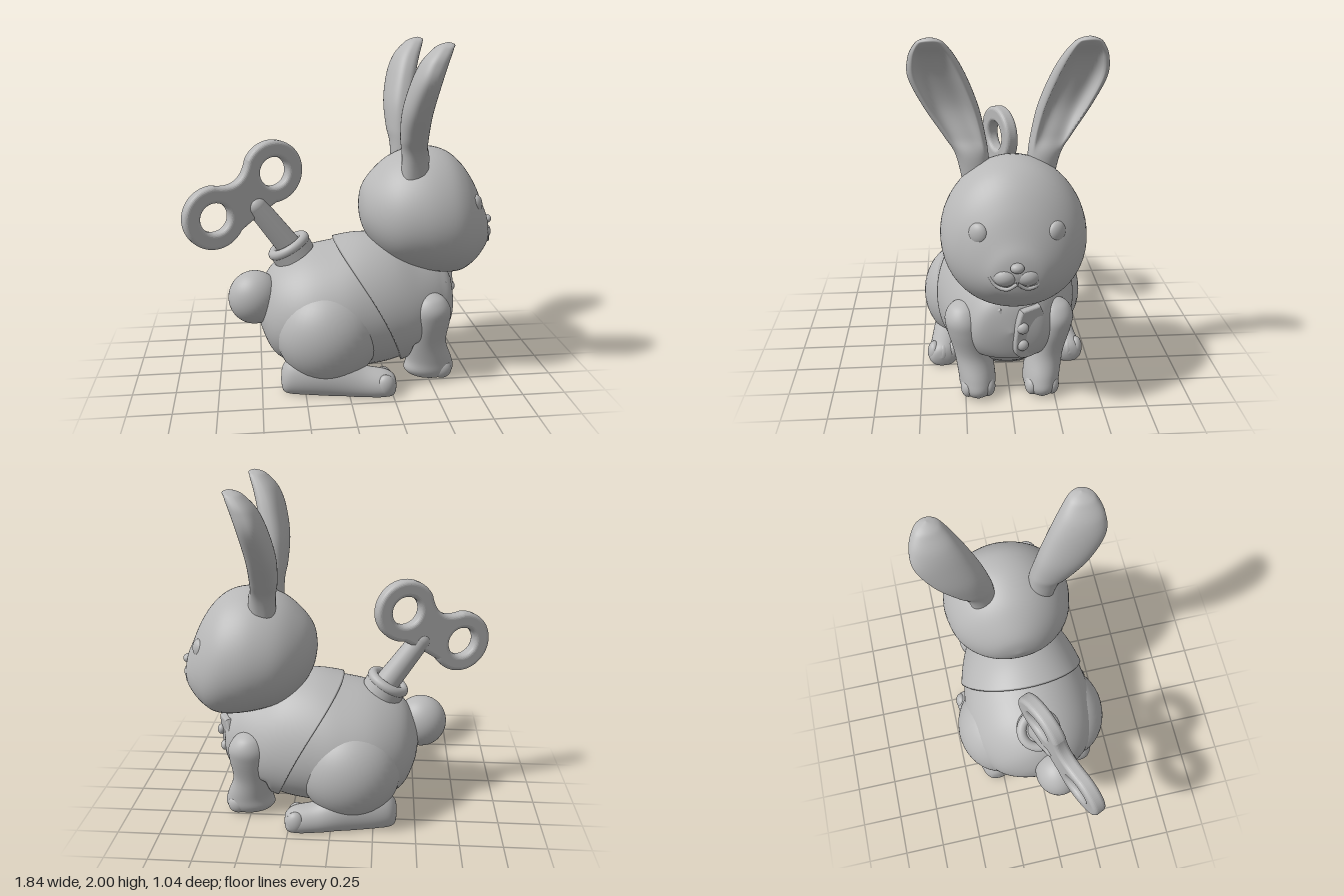
import * as THREE from 'three';
import { mergeVertices } from 'three/addons/utils/BufferGeometryUtils.js';

// Smooth interpolation through rows of numbers, u in 0..1
function sample(rows, u) {
  const f = Math.min(Math.max(u, 0), 1) * (rows.length - 1);
  const i = Math.min(Math.floor(f), rows.length - 2), t = f - i;
  const at = (k) => rows[Math.min(Math.max(k, 0), rows.length - 1)];
  const [a, b, c, d] = [at(i - 1), at(i), at(i + 1), at(i + 2)];
  return b.map((_, k) => 0.5 * (2 * b[k] + (c[k] - a[k]) * t
    + (2 * a[k] - 5 * b[k] + 4 * c[k] - d[k]) * t * t
    + (3 * b[k] - a[k] - 3 * c[k] + d[k]) * t * t * t));
}

// Closed-ring surface from point(u, angle)
function surface(point, nu = 48, nt = 56) {
  const pos = [], index = [];
  for (let i = 0; i <= nu; i++) {
    for (let j = 0; j < nt; j++) pos.push(...point(i / nu, (j / nt) * Math.PI * 2));
  }
  for (let i = 0; i < nu; i++) {
    for (let j = 0; j < nt; j++) {
      const a = i * nt + j, b = i * nt + (j + 1) % nt;
      index.push(a, b, a + nt, b, b + nt, a + nt);
    }
  }
  let g = new THREE.BufferGeometry();
  g.setAttribute('position', new THREE.Float32BufferAttribute(pos, 3));
  g.setIndex(index);
  g = mergeVertices(g, 1e-5);
  g.computeVertexNormals();
  return g;
}

// Pear-shaped ring along x from rows [x, top, bottom, half width]
const ringX = (rows) => (u, t) => {
  const [x, top, bottom, w] = sample(rows, u);
  return [x, (top + bottom) / 2 + (top - bottom) / 2 * Math.cos(t),
    w * Math.sin(t) * (1 - 0.1 * Math.cos(t))];
};

export function createModel() {
  const model = new THREE.Group();
  model.name = 'windUpRabbit';
  const grey = new THREE.MeshStandardMaterial({ color: 0xb8b8b8, side: THREE.DoubleSide });
  grey.name = 'grey';

  const add = (name, geometry, x = 0, y = 0, z = 0) => {
    const mesh = new THREE.Mesh(geometry, grey);
    mesh.name = name;
    mesh.position.set(x, y, z);
    model.add(mesh);
    return mesh;
  };
  const ball = (name, [x, y, z], [rx, ry, rz]) =>
    add(name, new THREE.SphereGeometry(1, 40, 28).scale(rx, ry, rz), x, y, z);
  const rod = (name, a, b, r0, r1 = r0) => {
    const from = new THREE.Vector3(...a), dir = new THREE.Vector3(...b).sub(from);
    const m = add(name, new THREE.CylinderGeometry(r1, r0, dir.length(), 32));
    m.position.copy(from).addScaledVector(dir, 0.5);
    m.quaternion.setFromUnitVectors(new THREE.Vector3(0, 1, 0), dir.normalize());
  };

  // Body
  const body = ringX([
    [-0.515, 0.42, 0.42, 0], [-0.49, 0.55, 0.29, 0.15], [-0.41, 0.68, 0.14, 0.29],
    [-0.25, 0.77, 0.07, 0.39], [-0.05, 0.815, 0.05, 0.42], [0.12, 0.84, 0.05, 0.4],
    [0.28, 0.82, 0.07, 0.365], [0.42, 0.75, 0.12, 0.315], [0.55, 0.68, 0.2, 0.235],
    [0.63, 0.6, 0.29, 0.16], [0.66, 0.45, 0.45, 0]]);
  add('body', surface(body));

  // Vest: a shell over the front of the body, cut by a slanting hem
  const beyondHem = ([x, y]) => {
    const k = (0.85 - y) / 0.75;
    return x > -0.07 + 0.41 * k + 0.05 * Math.sin(Math.PI * Math.min(Math.max(k, 0), 1));
  };
  const hemAt = (t) => {
    let lo = 0, hi = 1;
    for (let i = 0; i < 24; i++) {
      const mid = (lo + hi) / 2;
      if (beyondHem(body(mid, t))) hi = mid; else lo = mid;
    }
    return hi;
  };
  add('vest', surface((u, t) => {
    const v = Math.max(0, (u - 0.04) / 0.96), hem = hemAt(t);
    const p = body(hem + (1 - hem) * v, t);
    // open below the chest
    const bare = THREE.MathUtils.smoothstep(p[0], 0.36, 0.42) * (1 - THREE.MathUtils.smoothstep(p[1], 0.23, 0.29));
    const s = u === 0 ? 0.97 : 1.05 - 0.08 * bare;
    return [0.2 + (p[0] - 0.2) * s, 0.45 + (p[1] - 0.45) * s, p[2] * s];
  }, 60, 96));

  // Overlapping front flaps with rounded lower corners
  const flapShape = new THREE.Shape();
  flapShape.moveTo(-0.05, 0.14);
  flapShape.quadraticCurveTo(-0.09, 0.04, -0.088, -0.08);
  flapShape.quadraticCurveTo(-0.08, -0.15, 0, -0.15);
  flapShape.quadraticCurveTo(0.07, -0.15, 0.085, -0.05);
  flapShape.quadraticCurveTo(0.09, 0.05, 0.05, 0.14);
  const flapGeometry = new THREE.ExtrudeGeometry(flapShape,
    { depth: 0.02, bevelThickness: 0.012, bevelSize: 0.012, bevelSegments: 4, curveSegments: 16 });
  for (const s of [-1, 1]) {
    const flap = add('vestFlap', flapGeometry, s < 0 ? 0.63 : 0.593, 0.435, s * 0.095);
    flap.rotation.set(0, Math.PI / 2 - s * 0.5, -0.12, 'ZYX');
  }
  for (const y of [0.37, 0.48]) ball('button', [0.68 + (y - 0.37) * 0.14, y, -0.06], [0.025, 0.032, 0.032]);

  // Head
  add('head', surface(ringX([
    [0.1, 1.03, 1.03, 0], [0.125, 1.15, 0.9, 0.14], [0.2, 1.25, 0.78, 0.26],
    [0.31, 1.335, 0.69, 0.345], [0.46, 1.38, 0.64, 0.385], [0.6, 1.36, 0.615, 0.38],
    [0.7, 1.29, 0.62, 0.34], [0.78, 1.18, 0.665, 0.265], [0.84, 1.05, 0.725, 0.18],
    [0.875, 0.97, 0.78, 0.11], [0.89, 0.88, 0.88, 0]])), 0, 0, -0.02);
  ball('nose', [0.89, 0.925, -0.01], [0.028, 0.026, 0.035]);
  for (const s of [-1, 1]) {
    ball('muzzle', [0.84, 0.865, s * 0.055 - 0.01], [0.06, 0.055, 0.07]);
    ball('eye', [0.764, 1.06, s * 0.195 - 0.02], [0.036, 0.06, 0.055]).rotation.y = -s * 0.6;
    const smile = new THREE.CatmullRomCurve3([[0.9, 0.845, 0], [0.888, 0.812, 0.05],
      [0.87, 0.822, 0.1], [0.854, 0.87, 0.135]].map(([x, y, z]) => new THREE.Vector3(x, y, s * z - 0.01)));
    add('mouth', new THREE.TubeGeometry(smile, 16, 0.01, 8));

    // Ear rows: y, centre x, centre z, half depth, half width, hollow
    const ear = [[1.14, 0.4, 0.16, 0.075, 0.07, 0], [1.36, 0.397, 0.19, 0.078, 0.086, 0],
      [1.47, 0.387, 0.23, 0.086, 0.11, 0.04], [1.62, 0.387, 0.295, 0.09, 0.142, 0.08],
      [1.78, 0.414, 0.362, 0.086, 0.15, 0.08], [1.89, 0.45, 0.388, 0.078, 0.12, 0.06],
      [1.96, 0.49, 0.395, 0.058, 0.078, 0.015], [1.985, 0.508, 0.395, 0.04, 0.045, 0],
      [1.998, 0.515, 0.395, 0, 0, 0]];
    add('ear', surface((u, t) => {
      const [y, cx, cz, rx, rz, hollow] = sample(ear, u);
      const c = Math.cos(t), across = Math.sin(t) / 0.78;
      const dip = c > 0 ? Math.max(0, 1 - across ** 4) * hollow : 0;
      const side = -rz * Math.sin(t);
      return [cx + rx * Math.sign(c) * Math.abs(c) ** 0.75 - dip - s * side * 0.06, y, s * cz + side];
    }, 56, 64));

    // Front leg rows: y, centre x, centre z, half depth, half width
    const leg = [[0, 0.53, 0.18, 0, 0], [0.008, 0.52, 0.18, 0.1, 0.07], [0.05, 0.51, 0.18, 0.15, 0.1],
      [0.12, 0.508, 0.185, 0.138, 0.104], [0.24, 0.483, 0.205, 0.122, 0.105], [0.38, 0.49, 0.235, 0.127, 0.112],
      [0.46, 0.495, 0.25, 0.12, 0.108], [0.52, 0.495, 0.25, 0.085, 0.082], [0.548, 0.495, 0.247, 0.04, 0.04],
      [0.556, 0.495, 0.245, 0, 0]];
    add('frontLeg', surface((u, t) => {
      const [y, cx, cz, rx, rz] = sample(leg, u);
      return [cx + rx * Math.cos(t), Math.max(0, y), s * cz - rz * Math.sin(t)];
    }));

    // Haunch and splayed hind foot
    ball('haunch', [-0.105, 0.325, s * 0.225], [0.305, 0.3, 0.262]);
    const foot = ringX([[-0.39, 0.08, 0.06, 0], [-0.375, 0.16, 0, 0.06], [-0.3, 0.22, -0.02, 0.088],
      [-0.1, 0.24, -0.03, 0.096], [0.08, 0.165, -0.03, 0.096], [0.21, 0.14, -0.02, 0.092],
      [0.26, 0.11, 0, 0.06], [0.275, 0.06, 0.06, 0]]);
    add('hindFoot', surface((u, t) => {
      const [x, y, z] = foot(u, t);
      return [x, Math.max(0, y), z + s * (0.375 + 0.15 * (x - 0.22))];
    }));
    for (const k of [-1, 0, 1]) {
      ball('hindToe', [0.22 - 0.015 * k * k, 0.067, s * 0.375 + k * 0.055], [0.054, 0.066, 0.04]);
      ball('frontToe', [0.6 - 0.02 * k * k, 0.06, s * 0.18 + k * 0.055], [0.06, 0.058, 0.042]);
    }
  }

  // Tail
  ball('tail', [-0.53, 0.51, 0.08], [0.155, 0.16, 0.14]);

  // Wind-up key: collar, stem and two-ring handle
  rod('keyCollar', [-0.285, 0.735, 0], [-0.325, 0.806, 0], 0.128);
  const lip = add('keyCollarLip', new THREE.TorusGeometry(0.105, 0.03, 16, 40), -0.32, 0.797, 0);
  lip.quaternion.setFromUnitVectors(new THREE.Vector3(0, 0, 1), new THREE.Vector3(-0.49, 0.87, 0).normalize());
  rod('keyStem', [-0.29, 0.76, 0], [-0.505, 1.055, 0.045], 0.075, 0.062);
  ball('keyStemEnd', [-0.505, 1.055, 0.045], [0.062, 0.062, 0.062]);

  const d = 0.218, r = 0.16, bevel = 0.024;
  const handle = new THREE.Shape();
  handle.absarc(d, 0, r, -2.1, 2.1, false);
  handle.quadraticCurveTo(0, 0.0, -d - r * Math.cos(2.1), r * Math.sin(2.1));
  handle.absarc(-d, 0, r, Math.PI - 2.1, Math.PI + 2.1, false);
  handle.quadraticCurveTo(0, -0.13, d + r * Math.cos(2.1), -r * Math.sin(2.1));
  for (const s of [-1, 1]) {
    handle.holes.push(new THREE.Path().absarc(s * d, 0, 0.112, 0, Math.PI * 2, true));
  }
  const plate = new THREE.ExtrudeGeometry(handle, { depth: 0.035, bevelEnabled: true,
    bevelThickness: bevel, bevelSize: bevel, bevelSegments: 5, curveSegments: 32 });
  plate.translate(0, 0, -0.0175);
  add('keyHandle', plate, -0.578, 1.135, 0.068).rotation.set(0, 0.41, 0.556);

  return model;
}
